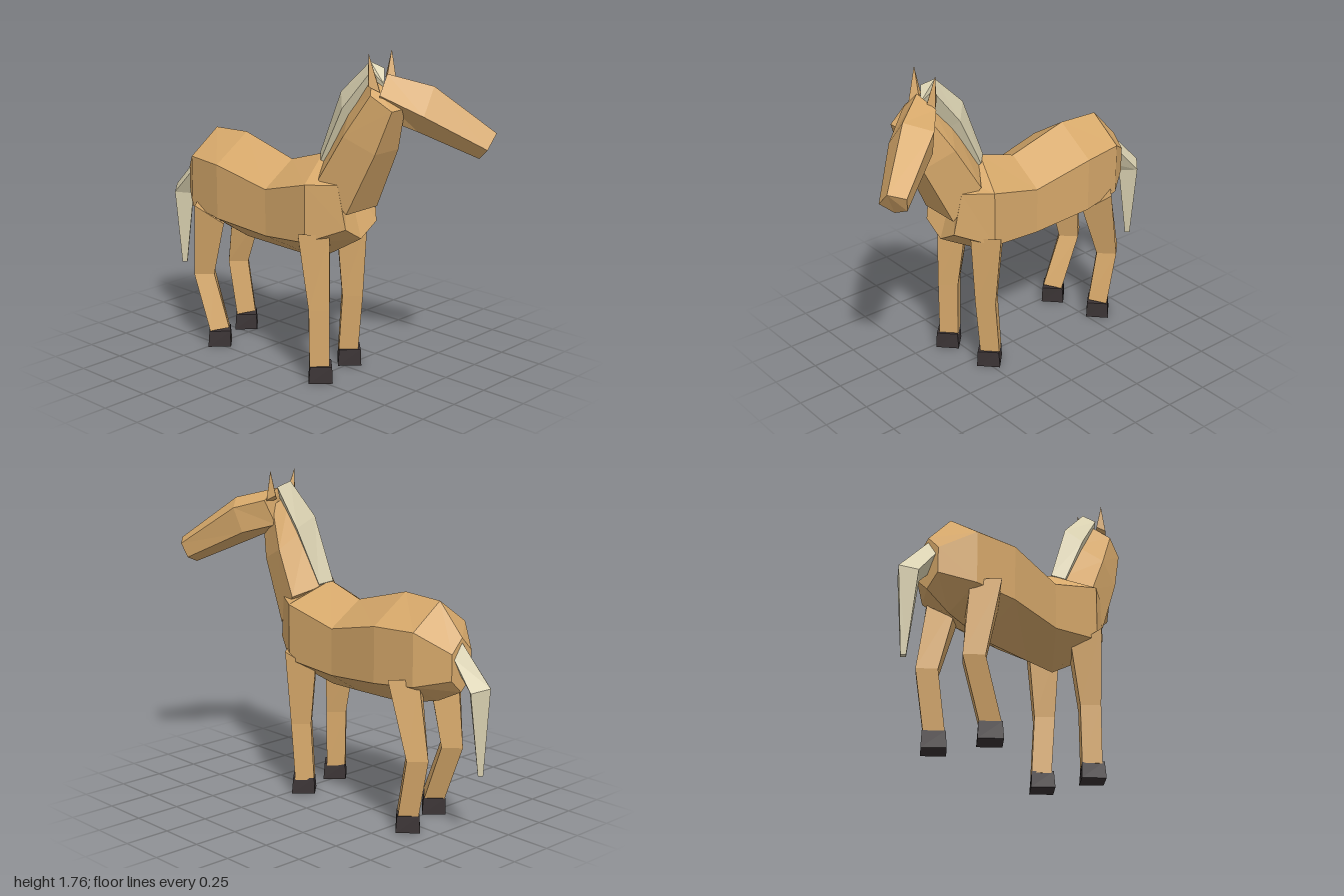
import * as THREE from 'three';

const MID = 0.08; // z of the body's plane of symmetry

// Joins rings of points into a closed, flat shaded solid.
function loft(rings) {
  const pos = [];
  const tri = (a, b, c) => pos.push(...a, ...b, ...c);
  const n = rings[0].length;
  for (let r = 0; r < rings.length - 1; r++) {
    for (let i = 0; i < n; i++) {
      const j = (i + 1) % n;
      const a = rings[r][i], b = rings[r][j], c = rings[r + 1][j], d = rings[r + 1][i];
      tri(a, b, c);
      tri(a, c, d);
    }
  }
  const last = rings[rings.length - 1];
  for (let i = 1; i < n - 1; i++) {
    tri(rings[0][0], rings[0][i + 1], rings[0][i]);
    tri(last[0], last[i], last[i + 1]);
  }
  // Turn the faces outward if the rings ran the other way round.
  let volume = 0;
  const v = (k) => new THREE.Vector3(pos[k], pos[k + 1], pos[k + 2]);
  for (let k = 0; k < pos.length; k += 9) volume += v(k).dot(v(k + 3).cross(v(k + 6)));
  if (volume < 0) {
    for (let k = 0; k < pos.length; k += 9) {
      for (let m = 0; m < 3; m++) {
        [pos[k + 3 + m], pos[k + 6 + m]] = [pos[k + 6 + m], pos[k + 3 + m]];
      }
    }
  }
  const g = new THREE.BufferGeometry();
  g.setAttribute('position', new THREE.Float32BufferAttribute(pos, 3));
  g.computeVertexNormals();
  return g;
}

// Diamond section: outer and inner points on the centre plane, a pair of side points.
const diamond = (outer, side, half, inner, z = MID) => [
  [...outer, z], [...side, z + half], [...inner, z], [...side, z - half],
];

export function createModel() {
  const group = new THREE.Group();
  const material = (name, color) => {
    const m = new THREE.MeshStandardMaterial({ color });
    m.name = name;
    return m;
  };
  const coat = material('tan coat', 0xd6a86a);
  const hair = material('pale hair', 0xdcd3b2);
  const horn = material('dark hoof', 0x3a3334);
  const add = (name, rings, mat) => {
    const mesh = new THREE.Mesh(loft(rings), mat);
    mesh.name = name;
    group.add(mesh);
  };

  // Body: hexagons with a ridge on top and a keel below.
  // Each row: top xy, upper xy, upper half width, lower xy, lower half width, keel xy
  const body = [
    [-0.805, 1.04, -0.805, 0.965, 0.073, -0.805, 0.826, 0.073, -0.805, 0.757],
    [-0.65, 1.205, -0.65, 1.07, 0.193, -0.65, 0.787, 0.193, -0.65, 0.68],
    [-0.41, 1.215, -0.41, 1.067, 0.23, -0.41, 0.767, 0.23, -0.41, 0.617],
    [-0.065, 1.12, -0.065, 0.99, 0.205, -0.065, 0.735, 0.205, -0.065, 0.61],
    [0.16, 1.19, 0.245, 1.075, 0.23, 0.245, 0.768, 0.23, 0.14, 0.608],
    [0.32, 1.12, 0.39, 1.083, 0.14, 0.43, 0.85, 0.12, 0.43, 0.778],
  ];
  add('body', body.map(([tx, ty, ux, uy, uw, lx, ly, lw, bx, by]) => [
    [tx, ty, MID], [ux, uy, MID + uw], [lx, ly, MID + lw],
    [bx, by, MID], [lx, ly, MID - lw], [ux, uy, MID - uw],
  ]), coat);

  // Neck: pentagons with a flat front.
  // Each row: back xy, side xy, side half width, front xy, front half width, centre z
  const neck = [
    [0.17, 1.17, 0.285, 1.1, 0.17, 0.432, 0.93, 0.12, MID],
    [0.35, 1.46, 0.425, 1.34, 0.14, 0.595, 1.265, 0.09, MID],
    [0.5, 1.63, 0.56, 1.56, 0.08, 0.675, 1.49, 0.05, 0.09],
  ];
  add('neck', neck.map(([bx, by, sx, sy, sw, fx, fy, fw, z]) => [
    [bx, by, z], [sx, sy, z + sw], [fx, fy, z + fw], [fx, fy, z - fw], [sx, sy, z - sw],
  ]), coat);

  // Head, turned aside: pentagons from poll to muzzle
  add('head', [
    [[0.57, 1.655, 0.055], [0.595, 1.56, 0.14], [0.56, 1.44, 0.09], [0.52, 1.46, 0], [0.54, 1.6, -0.065]],
    [[0.757, 1.598, -0.085], [0.775, 1.46, 0.015], [0.69, 1.36, -0.05], [0.63, 1.42, -0.15], [0.65, 1.56, -0.195]],
    [[1, 1.365, -0.285], [1, 1.29, -0.212], [0.93, 1.23, -0.24], [0.91, 1.265, -0.32], [0.93, 1.345, -0.348]],
  ], coat);

  // Ears
  for (const [name, z, tip] of [['leftEar', -0.015, -0.035], ['rightEar', 0.12, 0.14]]) {
    const base = [[0.5, 1.625, z], [0.535, 1.6, z + 0.037], [0.58, 1.57, z], [0.535, 1.6, z - 0.037]];
    add(name, [base, base.map((p, i) => [0.52 + (i === 2 ? 0.002 : 0), 1.758, tip + (i % 2 ? (2 - i) * 0.001 : 0)])], coat);
  }

  // Mane and tail
  add('mane', [
    diamond([0.14, 1.19], [0.195, 1.168], 0.055, [0.25, 1.12]),
    diamond([0.275, 1.53], [0.345, 1.46], 0.07, [0.42, 1.4], 0.07),
    diamond([0.457, 1.705], [0.51, 1.67], 0.05, [0.55, 1.6], 0.055),
  ], hair);
  add('tail', [
    diamond([-0.8, 1.02], [-0.8, 0.94], 0.055, [-0.8, 0.84]),
    diamond([-1, 0.815], [-0.935, 0.79], 0.075, [-0.86, 0.78]),
    diamond([-0.965, 0.35], [-0.947, 0.35], 0.02, [-0.928, 0.35]),
  ], hair);

  // Legs: tapering diamonds; the left pair stands a little further back
  const ring = (x, y, hx, hz, z, tiltBack = 0, tiltFront = 0) => [
    [x + hx, y - tiltFront, z], [x, y, z + hz], [x - hx, y - tiltBack, z], [x, y, z - hz],
  ];
  for (const left of [false, true]) {
    const side = left ? 'left' : 'right';
    const z = MID + (left ? -0.147 : 0.147);
    const back = (amount) => (left ? -amount : 0);
    const foreFoot = 0.283 + back(0.06);
    const hindFoot = -0.495 + back(0.09);
    add(side + 'ForeLeg', [
      ring(0.235, 0.82, 0.108, 0.122, z, 0.11, 0.01),
      ring(0.27 + back(0.03), 0.4, 0.077, 0.078, z),
      ring(foreFoot - 0.01, 0.08, 0.073, 0.075, z),
    ], coat);
    add(side + 'HindLeg', [
      ring(-0.55, 0.82, 0.1, 0.122, z, 0, 0.11),
      ring(-0.615 + back(0.03), 0.4, 0.08, 0.078, z),
      ring(hindFoot, 0.09, 0.075, 0.075, z, 0.01, -0.02),
    ], coat);
    for (const [name, x] of [['ForeHoof', foreFoot], ['HindHoof', hindFoot]]) {
      add(side + name, [ring(x, 0.09, 0.083, 0.082, z), ring(x, 0, 0.088, 0.092, z)], horn);
    }
  }
  return group;
}
